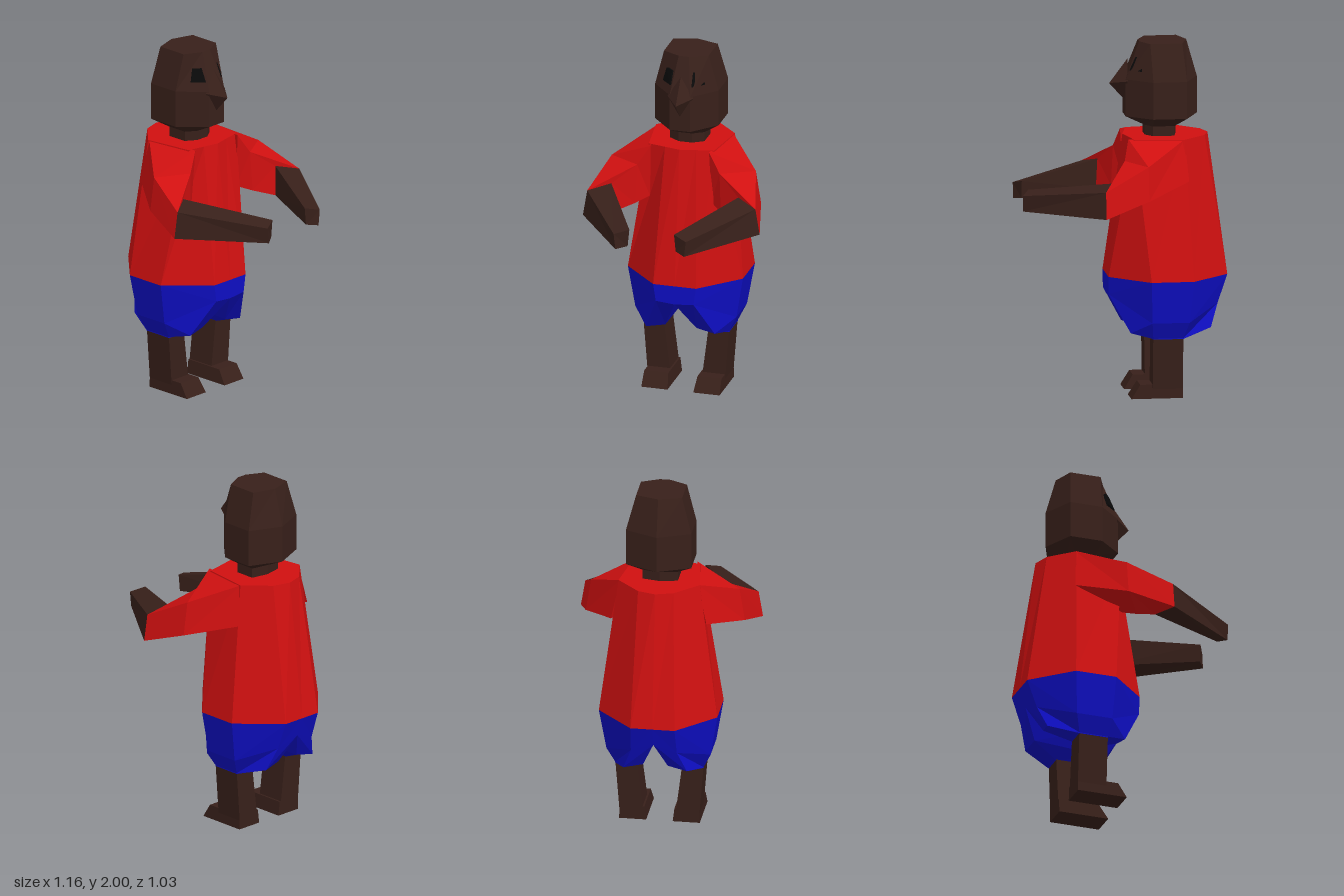
import * as THREE from 'three';

const SKIN = 0x38201a, RED = 0xd01010, BLUE = 0x0e0ec4, BLACK = 0x0a0a0a;

// Joins equal-length loops of [x, y, z] into a closed, faceted, outward-facing solid.
function loft(name, rings, color) {
  const tris = [];
  const n = rings[0].length;
  for (let r = 0; r < rings.length - 1; r++) {
    const a = rings[r], b = rings[r + 1];
    for (let i = 0; i < n; i++) {
      const j = (i + 1) % n;
      tris.push([a[i], a[j], b[j]], [a[i], b[j], b[i]]);
    }
  }
  const first = rings[0], last = rings[rings.length - 1];
  for (let i = 1; i < n - 1; i++) {
    tris.push([first[0], first[i + 1], first[i]], [last[0], last[i], last[i + 1]]);
  }
  // signed volume about an inner point decides the winding
  const c = new THREE.Vector3(...first[0]);
  let volume = 0;
  for (const t of tris) {
    const [p, q, s] = t.map((v) => new THREE.Vector3(...v).sub(c));
    volume += p.dot(q.cross(s));
  }
  const points = tris.flatMap(([p, q, s]) => (volume < 0 ? [p, s, q] : [p, q, s])).flat();
  const geometry = new THREE.BufferGeometry();
  geometry.setAttribute('position', new THREE.Float32BufferAttribute(points, 3));
  geometry.computeVertexNormals();
  const material = new THREE.MeshStandardMaterial({ color, flatShading: true });
  const mesh = new THREE.Mesh(geometry, material);
  mesh.name = name;
  return mesh;
}

// Level loop from half an outline [x, z], running back to front and mirrored in z.
function level(y, half) {
  const other = half.filter((p) => p[1] > 0).reverse();
  return [...half.map(([x, z]) => [x, y, z]), ...other.map(([x, z]) => [x, y, -z])];
}

// Rectangular loop at height y.
const rect = (y, x0, x1, z0, z1) => [[x0, y, z0], [x0, y, z1], [x1, y, z1], [x1, y, z0]];

export function createModel() {
  const model = new THREE.Group();
  model.name = 'figure';

  // Shirt body
  model.add(loft('torso', [
    level(0.68, [[-0.585, 0], [-0.585, 0.125], [-0.37, 0.335], [-0.13, 0.335], [0.085, 0.125], [0.085, 0]]),
    level(1.47, [[-0.49, 0], [-0.46, 0.1], [-0.33, 0.23], [-0.05, 0.19], [-0.03, 0.09], [-0.01, 0]]),
  ], RED));

  // Neck and head
  const neck = [[-0.31, 0], [-0.29, 0.1], [-0.17, 0.1], [-0.13, 0.04]];
  const skull = [[-0.43, 0], [-0.35, 0.185], [-0.16, 0.185], [-0.02, 0.06]];
  const crown = [[-0.37, 0], [-0.33, 0.13], [-0.15, 0.13], [-0.1, 0.03]];
  model.add(loft('neck', [level(1.45, neck), level(1.54, neck)], SKIN));
  model.add(loft('head', [
    level(1.525, neck), level(1.58, skull), level(1.79, skull), level(2, crown),
  ], SKIN));

  // Pointed nose
  const tip = [0.065, 1.76, 0];
  model.add(loft('nose', [
    [[-0.04, 1.9, 0], [-0.03, 1.78, 0.075], [-0.025, 1.66, 0], [-0.03, 1.78, -0.075]],
    [tip, tip, tip, tip],
  ], SKIN));

  for (const side of [1, -1]) {
    const label = side > 0 ? 'Front' : 'Rear';
    const add = (name, rings, color) => model.add(loft(
      name + label, rings.map((ring) => ring.map(([x, y, z]) => [x, y, z * side])), color));

    // Eye plate lying on the slanted face panel
    const onFace = (u, v, out) => {
      const mix = THREE.MathUtils.lerp;
      const x = mix(mix(-0.02, -0.16, u), mix(-0.1, -0.15, u), v);
      const z = mix(mix(0.06, 0.185, u), mix(0.03, 0.13, u), v);
      return [x + out * 0.7, 1.79 + 0.21 * v + out * 0.3, z + out * 0.65];
    };
    const eye = (out) => [[0.05, 0.24], [0.56, 0.24], [0.52, 0.6], [0.14, 0.6]]
      .map(([u, v]) => onFace(u, v, out));
    add('eye', [eye(-0.01), eye(0.006)], BLACK);

    // Sleeve: outer top, outer bottom, inner bottom, inner top
    const cuff = [[0.15, 1.23, 0.49], [0.15, 1.08, 0.515], [0.09, 1.09, 0.36], [0.08, 1.26, 0.37]];
    add('sleeve', [
      [[-0.33, 1.47, 0.22], [-0.35, 1.24, 0.27], [-0.04, 1.16, 0.18], [-0.02, 1.47, 0.17]],
      [[-0.1, 1.355, 0.42], [-0.1, 1.165, 0.45], [0.02, 1.13, 0.25], [0.01, 1.36, 0.24]],
      cuff,
    ], RED);

    // Forearm tapering to a blunt end
    add('forearm', [
      cuff,
      [[0.58, 1.17, 0.21], [0.58, 1.08, 0.2], [0.54, 1.09, 0.14], [0.54, 1.19, 0.13]],
    ], SKIN);

    // Half of the shorts, split at the crotch
    add('shorts', [
      [[-0.585, 0.68, 0], [-0.585, 0.68, 0.125], [-0.37, 0.68, 0.335],
        [-0.13, 0.68, 0.335], [0.085, 0.68, 0.125], [0.085, 0.68, 0]],
      [[-0.55, 0.57, 0], [-0.53, 0.52, 0.13], [-0.35, 0.44, 0.295],
        [-0.14, 0.44, 0.295], [0.085, 0.58, 0.11], [0.085, 0.57, 0]],
      [[-0.47, 0.41, 0.07], [-0.485, 0.39, 0.18], [-0.32, 0.345, 0.25],
        [-0.15, 0.345, 0.25], [-0.03, 0.37, 0.2], [-0.04, 0.39, 0.09]],
      [[-0.32, 0.34, 0.13], [-0.33, 0.34, 0.2], [-0.32, 0.34, 0.25],
        [-0.15, 0.34, 0.25], [-0.14, 0.34, 0.2], [-0.15, 0.34, 0.13]],
    ], BLUE);

    // Leg and wedge foot
    add('leg', [
      rect(0.36, -0.32, -0.15, 0.13, 0.25),
      rect(0.04, -0.32, -0.15, 0.09, 0.225),
    ], SKIN);
    add('foot', [
      rect(0, -0.32, -0.03, 0.075, 0.228),
      rect(0.08, -0.32, -0.08, 0.085, 0.225),
    ], SKIN);
  }
  return model;
}
